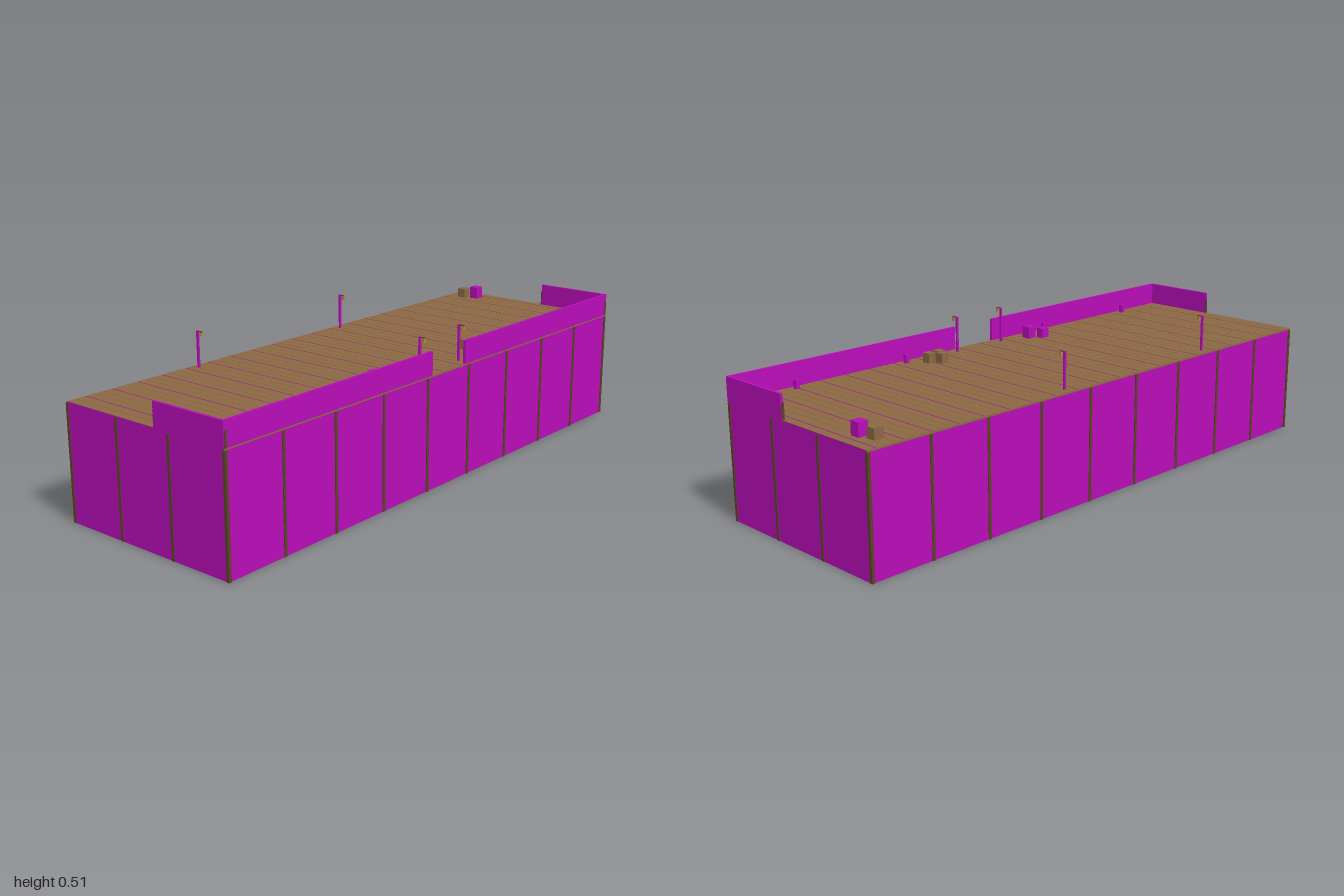
import * as THREE from 'three';

export function createModel() {
  const root = new THREE.Group();
  const magenta = new THREE.MeshStandardMaterial({ color: 0xb80db8 });
  const brown = new THREE.MeshStandardMaterial({ color: 0x8b6844 });
  const darkBrown = new THREE.MeshStandardMaterial({ color: 0x5a4326 });
  const amber = new THREE.MeshStandardMaterial({ color: 0xb08a3c });

  // box given by its min and max corners
  function box(name, mat, x0, x1, y0, y1, z0, z1, parent = root) {
    const mesh = new THREE.Mesh(new THREE.BoxGeometry(x1 - x0, y1 - y0, z1 - z0), mat);
    mesh.position.set((x0 + x1) / 2, (y0 + y1) / 2, (z0 + z1) / 2);
    mesh.name = name;
    parent.add(mesh);
    return mesh;
  }

  const H = 0.38, TOP = 0.386;
  const BAY = 0.222;

  // thin outer walls, open underneath
  for (const s of [-1, 1]) {
    box('sideWall', magenta, s * 0.33 - 0.002, s * 0.33 + 0.002, 0, H, -0.995, 0.995);
    box('endWall', magenta, -0.33, 0.33, 0, H, s * 0.995 - 0.002, s * 0.995 + 0.002);
  }

  // grid of piles: the outer ones show as battens through the walls
  for (let i = 0; i < 4; i++) {
    for (let j = 0; j < 10; j++) {
      const x = (i - 1.5) * 0.22, z = (j - 4.5) * BAY * 0.995;
      box('pile', darkBrown, x - 0.005, x + 0.005, 0, H, z - 0.005, z + 0.005);
    }
  }

  // deck slab, edge trim and planks with narrow seams
  box('deck', magenta, -0.33, 0.33, H, 0.385, -0.998, 0.998);
  for (const s of [-1, 1]) {
    box('edgeTrim', brown, s * 0.331 - 0.002, s * 0.331 + 0.002, H, 0.385, -0.998, 0.998);
  }
  const planks = new THREE.Group();
  planks.name = 'planks';
  root.add(planks);
  const COUNT = 60, STEP = 1.996 / COUNT;
  for (let i = 0; i < COUNT; i++) {
    const z = -0.998 + i * STEP;
    const seam = i % 3 === 0 ? 0.005 : 0.001;
    box('plank', brown, -0.33, 0.33, 0.3845, TOP, z, z + STEP - seam, planks);
  }

  // parapets along the left edge, with a return at each end
  for (const s of [-1, 1]) {
    const span = (a, b) => (s > 0 ? [a, b] : [-b, -a]);
    box('sideParapet', magenta, 0.324, 0.333, 0.384, 0.464, ...span(0.088, 1));
    box('endParapet', magenta, 0.055, 0.333, 0.384, 0.464, ...span(0.991, 1));
    box('parapetPost', darkBrown, 0.052, 0.056, TOP, 0.437, ...span(0.99, 0.998));
    box('parapetPost', darkBrown, 0.331, 0.335, TOP, 0.437, ...span(0.99, 0.998));
    // low bollards beside the parapet
    for (const z of [0.33, 0.773]) {
      box('bollard', magenta, 0.292, 0.307, 0.384, 0.415, ...span(z - 0.0075, z + 0.0075));
    }
  }

  // crates: x, z, width, height, material
  const crates = [
    [-0.265, -0.915, 0.033, 0.034, brown], [-0.215, -0.93, 0.034, 0.044, magenta],
    [0.215, -0.245, 0.03, 0.034, brown], [0.25, -0.272, 0.03, 0.034, brown],
    [0.25, -0.23, 0.03, 0.034, brown],
    [0.262, 0.215, 0.033, 0.042, magenta], [0.232, 0.255, 0.03, 0.034, magenta],
  ];
  for (const [x, z, w, h, mat] of crates) {
    box('crate', mat, x - w / 2, x + w / 2, TOP, TOP + h, z - w / 2, z + w / 2);
  }

  // lamp posts with a short arm and hanging lantern
  for (const [x, z] of [[-0.303, -0.2], [-0.303, 0.495], [0.292, -0.107], [0.292, 0.103]]) {
    const lamp = new THREE.Group();
    lamp.name = 'lampPost';
    lamp.position.set(x, 0, z);
    root.add(lamp);
    box('post', magenta, -0.0035, 0.0035, 0.384, 0.508, -0.0035, 0.0035, lamp);
    box('arm', darkBrown, 0.0035, 0.02, 0.505, 0.508, -0.002, 0.002, lamp);
    box('lantern', amber, 0.011, 0.02, 0.492, 0.505, -0.0045, 0.0045, lamp);
  }

  return root;
}
